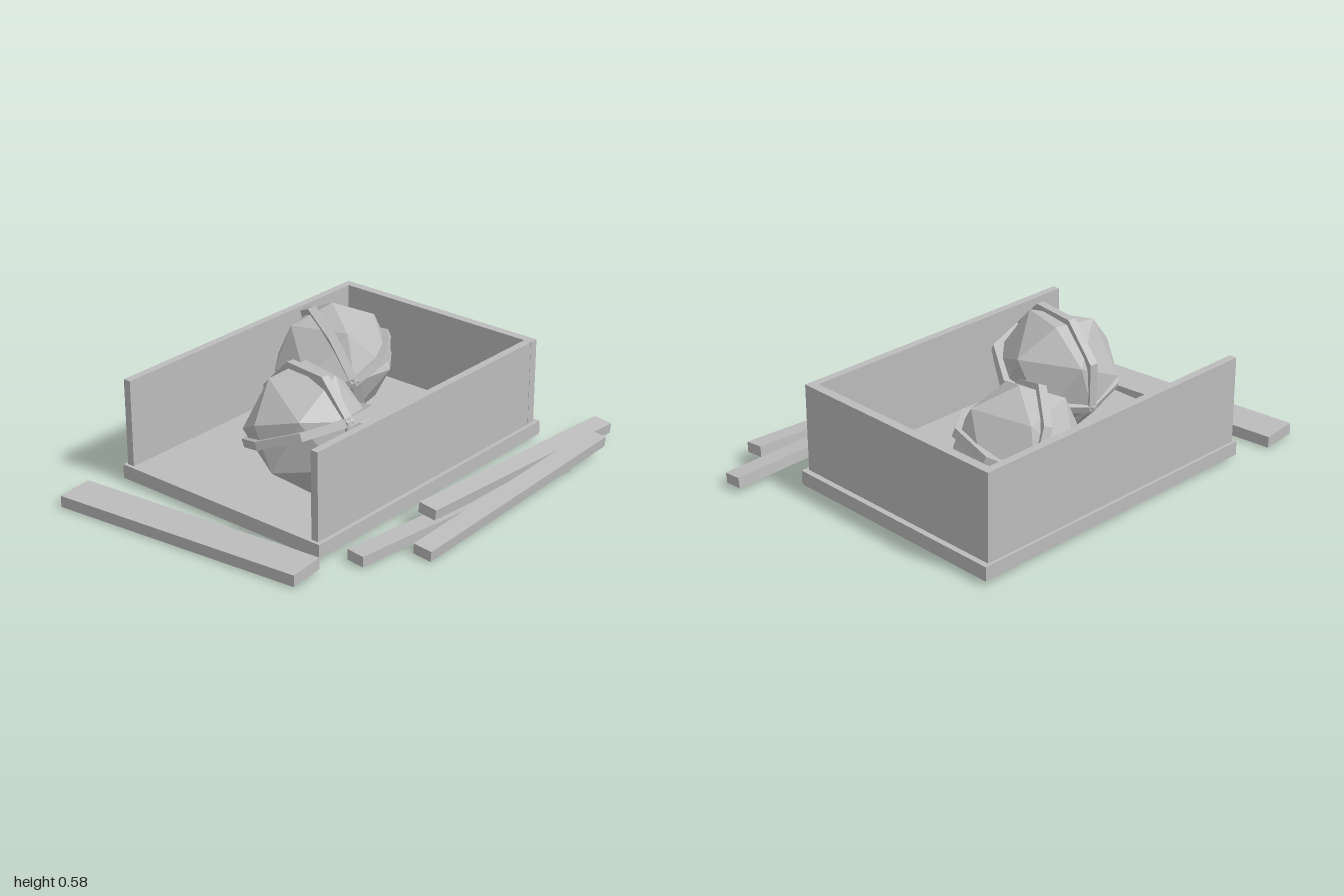
import * as THREE from 'three';

const grey = new THREE.MeshStandardMaterial({ color: 0xbcbcbc, flatShading: true, side: THREE.DoubleSide });
grey.name = 'plain grey';

export function createModel() {
  const root = new THREE.Group();
  root.name = 'brokenCrateWithBalls';

  const add = (parent, name, geometry, pos = [0, 0, 0], rot = [0, 0, 0]) => {
    const mesh = new THREE.Mesh(geometry, grey);
    mesh.name = name;
    mesh.position.set(...pos);
    mesh.rotation.set(...rot, 'YXZ');
    parent.add(mesh);
    return mesh;
  };

  // box without its underside
  const openBox = (w, h, d) => {
    const g = new THREE.BoxGeometry(w, h, d);
    const index = Array.from(g.index.array).filter((_, i) => i < 18 || i >= 24);
    g.setIndex(index);
    g.clearGroups();
    return g;
  };

  // crate: base slab and three walls, open at the front
  add(root, 'crateBase', openBox(1.07, 0.062, 1.45), [-0.145, 0.047, -0.065]);
  for (const [side, x] of [['left', 0.355], ['right', -0.65]]) {
    add(root, side + 'Wall', openBox(0.034, 0.385, 1.41), [x, 0.2695, -0.06]);
  }
  add(root, 'backWall', openBox(1.037, 0.385, 0.04), [-0.1455, 0.2695, -0.745]);

  // loose front board
  add(root, 'fallenBoard', openBox(1.154, 0.05, 0.168), [-0.139, 0.029, 0.844], [0, 0.106, 0]);

  // three slats piled beside the crate
  const slats = [
    [[0.56, 0.064, -0.405], [-0.039, -0.025, -0.1]],
    [[0.672, 0.052, -0.215], [0.042, 0, -0.1]],
    [[0.575, 0.028, -0.01], [0, -0.12, 0]],
  ];
  slats.forEach(([pos, rot], i) => add(root, 'slat' + (i + 1), openBox(0.086, 0.046, 1.19), pos, rot));

  // faceted balls, each with two crossing eight-sided bands
  const ball = (name, radius, pos, rot, coreTilt) => {
    const g = new THREE.Group();
    g.name = name;
    g.position.set(...pos);
    g.rotation.set(...rot, 'YXZ');
    add(g, name + 'Core', new THREE.OctahedronGeometry(radius, 1), [0, 0, 0], [coreTilt, 0, 0]);
    const band = new THREE.CylinderGeometry(radius + 0.008, radius + 0.008, 0.036, 8);
    add(g, name + 'Belt', band);
    add(g, name + 'UprightBand', band, [0, 0, 0], [Math.PI / 2, 0, 0]);
    root.add(g);
  };
  ball('frontBall', 0.267, [0, 0.322, 0.275], [0, -0.13, 0.4], -0.3);
  ball('rearBall', 0.267, [-0.373, 0.302, -0.317], [0.35, -0.51, 0.05], -0.35);

  return root;
}
